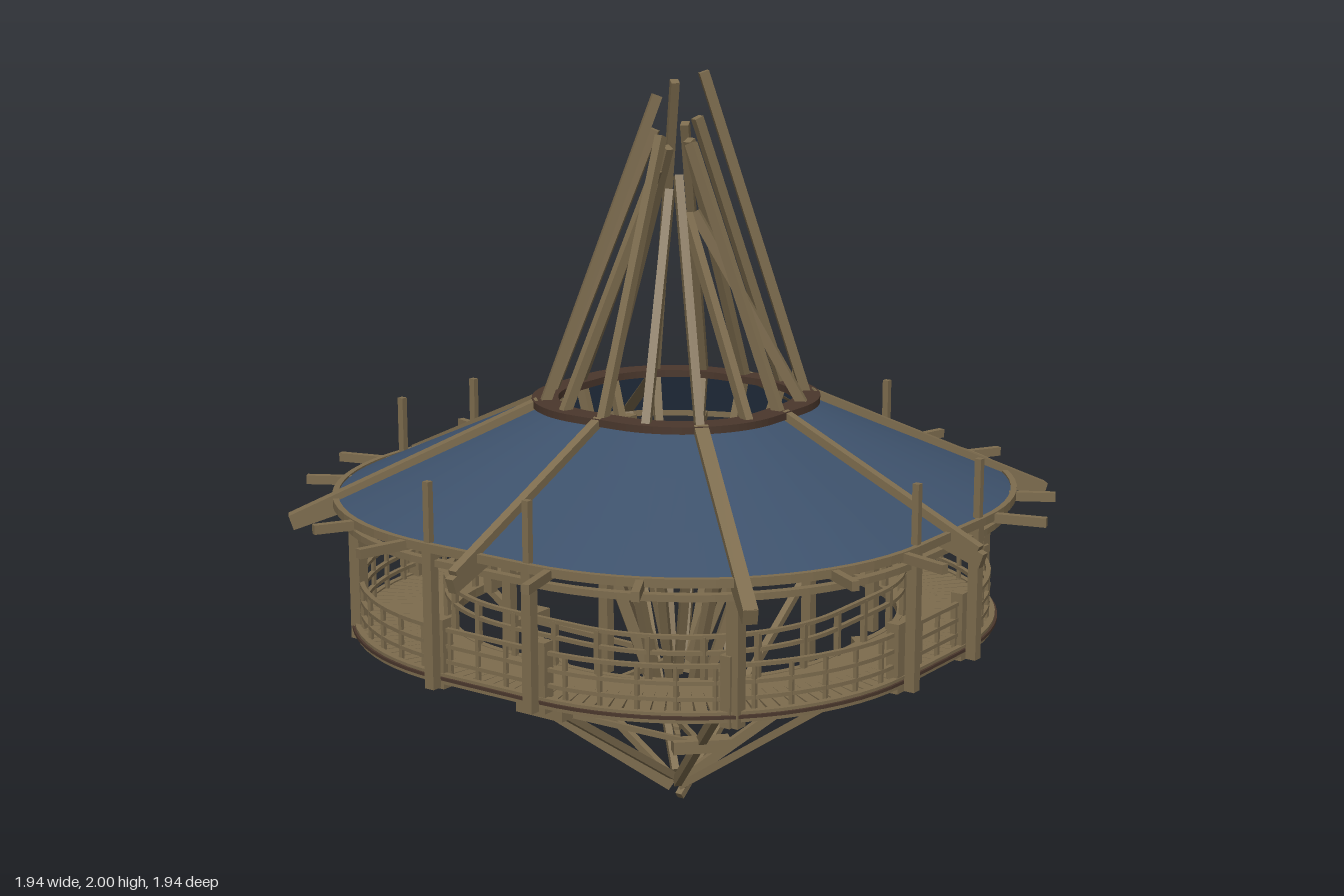
import * as THREE from 'three';

const wood = new THREE.MeshStandardMaterial({ color: 0x7d6c4e });
const darkWood = new THREE.MeshStandardMaterial({ color: 0x4a372c });
const roofBlue = new THREE.MeshStandardMaterial({ color: 0x3d516b, side: THREE.DoubleSide });
const TAU = Math.PI * 2;
const FLAT = 0.19; // share of each side that is straight
const V = (x, y, z) => new THREE.Vector3(x, y, z);

// Radius at angle a of a rounded square with half-width h
function radius(a, h) {
  const c = Math.abs(Math.cos(a)), s = Math.abs(Math.sin(a));
  if (Math.min(c, s) / Math.max(c, s) <= FLAT) return h / Math.max(c, s);
  const k = FLAT * h, corner = h - k, d = k * (c + s);
  return d + Math.sqrt(d * d - 2 * k * k + corner * corner);
}
const polar = (a, r, y) => V(Math.cos(a) * r, y, Math.sin(a) * r);
const onPlan = (a, h, y) => polar(a, radius(a, h), y);

export function createModel() {
  const model = new THREE.Group();
  const group = (name) => {
    const g = new THREE.Group();
    g.name = name;
    model.add(g);
    return g;
  };

  // Straight timber from a to b
  function beam(parent, name, a, b, w, h = w) {
    const m = new THREE.Mesh(new THREE.BoxGeometry(w, h, a.distanceTo(b)), wood);
    m.position.copy(a).add(b).multiplyScalar(0.5);
    m.lookAt(b);
    m.name = name;
    parent.add(m);
  }

  // Profile of [half-width, y] points swept round the rounded-square plan
  function ring(parent, name, profile, mat, closed, n) {
    const pos = [], idx = [], k = profile.length;
    for (let i = 0; i <= n; i++)
      for (const [h, y] of profile) pos.push(...onPlan((i / n) * TAU, h, y).toArray());
    for (let i = 0; i < n; i++)
      for (let j = 0; j < (closed ? k : k - 1); j++) {
        const a = i * k + j, b = i * k + ((j + 1) % k), c = a + k, d = b + k;
        idx.push(a, b, c, b, d, c);
      }
    let g = new THREE.BufferGeometry();
    g.setAttribute('position', new THREE.Float32BufferAttribute(pos, 3));
    g.setIndex(idx);
    if (closed) g = g.toNonIndexed();
    g.computeVertexNormals();
    const m = new THREE.Mesh(g, mat);
    m.name = name;
    parent.add(m);
  }
  // Solid ring of rectangular section between half-widths h0 < h1
  const band = (parent, name, h0, h1, y0, y1, mat = wood, n = 96) =>
    ring(parent, name, [[h1, y0], [h1, y1], [h0, y1], [h0, y0]], mat, true, n);

  // Roof skin, its eave and the crown ring round the opening
  const roof = group('roof');
  ring(roof, 'roofSkin', [[0.835, 0.9], [0.68, 0.972], [0.5, 1.055], [0.34, 1.13]], roofBlue, false, 96);
  band(roof, 'crownRing', 0.29, 0.355, 1.128, 1.147, darkWood);
  band(roof, 'eaveRim', 0.83, 0.845, 0.885, 0.907);
  band(roof, 'eaveBeam', 0.805, 0.825, 0.845, 0.862);
  band(roof, 'innerBeam', 0.51, 0.535, 0.865, 0.885);
  for (let i = 0; i < 8; i++) {
    const a = (i / 8) * TAU, diagonal = i % 2, w = diagonal ? 0.036 : 0.024;
    beam(roof, 'rafter', onPlan(a, 0.34, 1.14), polar(a, diagonal ? 1.02 : 0.92, diagonal ? 0.855 : 0.872), w, 0.022);
    beam(roof, 'rafterTail', polar(a, diagonal ? 0.88 : 0.8, 0.89), polar(a, diagonal ? 1.02 : 0.93, 0.845), w, 0.04);
  }
  // Level joists poking out past the eave
  for (let q = 0; q < 4; q++)
    for (const deg of [15, 30, 60, 75]) {
      const a = (q * Math.PI) / 2 + (deg * Math.PI) / 180;
      beam(roof, 'joist', polar(a, 0.57, 0.892), polar(a, 1.003, 0.892), 0.02, 0.024);
    }

  // Ring deck with radial planks
  const deck = group('deck');
  band(deck, 'deckOuterEdge', 0.785, 0.8, 0.535, 0.562);
  band(deck, 'deckInnerEdge', 0.555, 0.572, 0.535, 0.56);
  band(deck, 'deckUnderRing', 0.61, 0.665, 0.53, 0.546, darkWood, 16);
  band(deck, 'deckTrim', 0.798, 0.806, 0.546, 0.554, darkWood);
  const planks = 150;
  for (let i = 0; i < planks; i++) {
    const a = (i / planks) * TAU;
    beam(deck, 'plank', onPlan(a, 0.565, 0.553), onPlan(a, 0.795, 0.553), 0.029, 0.01);
  }

  // Posts: tall and rail posts in pairs on each side, slim inner posts, corner posts
  const posts = group('posts');
  for (let q = 0; q < 4; q++) {
    const turn = new THREE.Group();
    turn.rotation.y = (q * Math.PI) / 2;
    turn.name = 'postsOneSide';
    posts.add(turn);
    const upright = (name, x, z, y0, y1, w) => {
      const m = new THREE.Mesh(new THREE.BoxGeometry(w, y1 - y0, w), wood);
      m.position.set(x, (y0 + y1) / 2, z);
      m.name = name;
      turn.add(m);
    };
    for (const s of [-1, 1]) {
      upright('tallPost', s * 0.155, 0.828, 0.53, 1.06, 0.018);
      upright('sidePost', s * 0.155, 0.825, 0.53, 0.89, 0.028);
      upright('railPost', s * 0.16, 0.78, 0.52, 0.7, 0.034);
      upright('innerPost', s * 0.155, 0.52, 0.55, 0.87, 0.027);
    }
    upright('cornerPost', 0.6, 0.6, 0.52, 0.9, 0.034);
    upright('cornerRailPost', 0.585, 0.61, 0.52, 0.7, 0.03);
  }

  // Railings along both edges of the deck
  const railing = group('railing');
  for (const y of [0.672, 0.63, 0.59]) band(railing, 'outerRail', 0.775, 0.787, y - 0.005, y + 0.005);
  for (const y of [0.672, 0.63]) band(railing, 'innerRail', 0.565, 0.577, y - 0.005, y + 0.005);
  for (let i = 0; i < 56; i++) {
    const a = ((i + 0.5) / 56) * TAU;
    beam(railing, 'outerBaluster', onPlan(a, 0.781, 0.555), onPlan(a, 0.781, 0.672), 0.01);
    if (i % 2) beam(railing, 'innerBaluster', onPlan(a, 0.571, 0.555), onPlan(a, 0.571, 0.672), 0.014);
  }

  // Spire poles leaning in above the crown, hanging poles closing in below it
  const spire = group('spire'), funnel = group('hangingPoles');
  const tops = [1.82, 1.64, 1.74, 1.7, 1.84, 1.72, 1.94, 1.85, 1.74, 1.8, 1.97, 1.86, 1.82, 1.88, 2.0, 1.64];
  const ends = [0.42, 0.26, 0.4, 0.36, 0.28, 0.45, 0.3, 0.38, 0.25, 0.42, 0.28, 0.4, 0.36, 0.44, 0.31, 0.4];
  for (let i = 0; i < 16; i++) {
    const a = (i / 16) * TAU;
    const r = 0.05 + (i % 3) * 0.01;
    beam(spire, 'spirePole', onPlan(a, 0.325, 1.135), polar(a + 0.1, r, tops[i] - 0.004), 0.022, 0.026);
    beam(funnel, 'hangingPole', onPlan(a, 0.315, 1.13), polar(a + 0.1, r, ends[i]), 0.022, 0.026);
  }

  // Braces from the deck down to the bottom point
  const braces = group('braces');
  for (let i = 0; i < 8; i++) {
    const a = (i / 8) * TAU, low = i === 6;
    beam(braces, 'brace', polar(a, 0.73, 0.55), polar(a, 0.015, low ? 0.012 : 0.05 + (i % 3) * 0.015),
      0.02, i % 2 ? 0.028 : 0.02);
  }

  // Loose steps below the deck: x, y, z, facing, length, rod end
  const steps = group('hangingSteps');
  const list = [
    [0.38, 0.402, -0.37, 0.785, 0.2, [0.5, 0.54, -0.5]],
    [0.27, 0.305, 0.27, -0.785, 0.15, [0.03, 0.25, 0.03]],
    [-0.03, 0.42, 0.54, 0, 0.15, [0, 0.42, 0]],
    [-0.54, 0.42, -0.03, Math.PI / 2, 0.15, [0, 0.42, 0]],
    [-0.15, 0.21, -0.45, 0, 0.19, [-0.19, 0.54, -0.57]],
    [-0.14, 0.21, -0.16, -0.64, 0.21, [0.02, 0.2, 0.02]],
  ];
  for (const [x, y, z, turn, length, end] of list) {
    const step = new THREE.Mesh(new THREE.BoxGeometry(length, 0.034, 0.045), wood);
    step.position.set(x, y, z);
    step.rotation.y = -turn;
    step.name = 'step';
    steps.add(step);
    beam(steps, 'stepRod', V(x, y, z), V(...end), 0.014);
  }
  beam(steps, 'stepRod', V(-0.15, 0.21, -0.45), V(0, 0.21, 0), 0.014);
  beam(steps, 'stepRod', V(-0.03, 0.42, 0.54), V(0.27, 0.305, 0.27), 0.014);

  return model;
}
